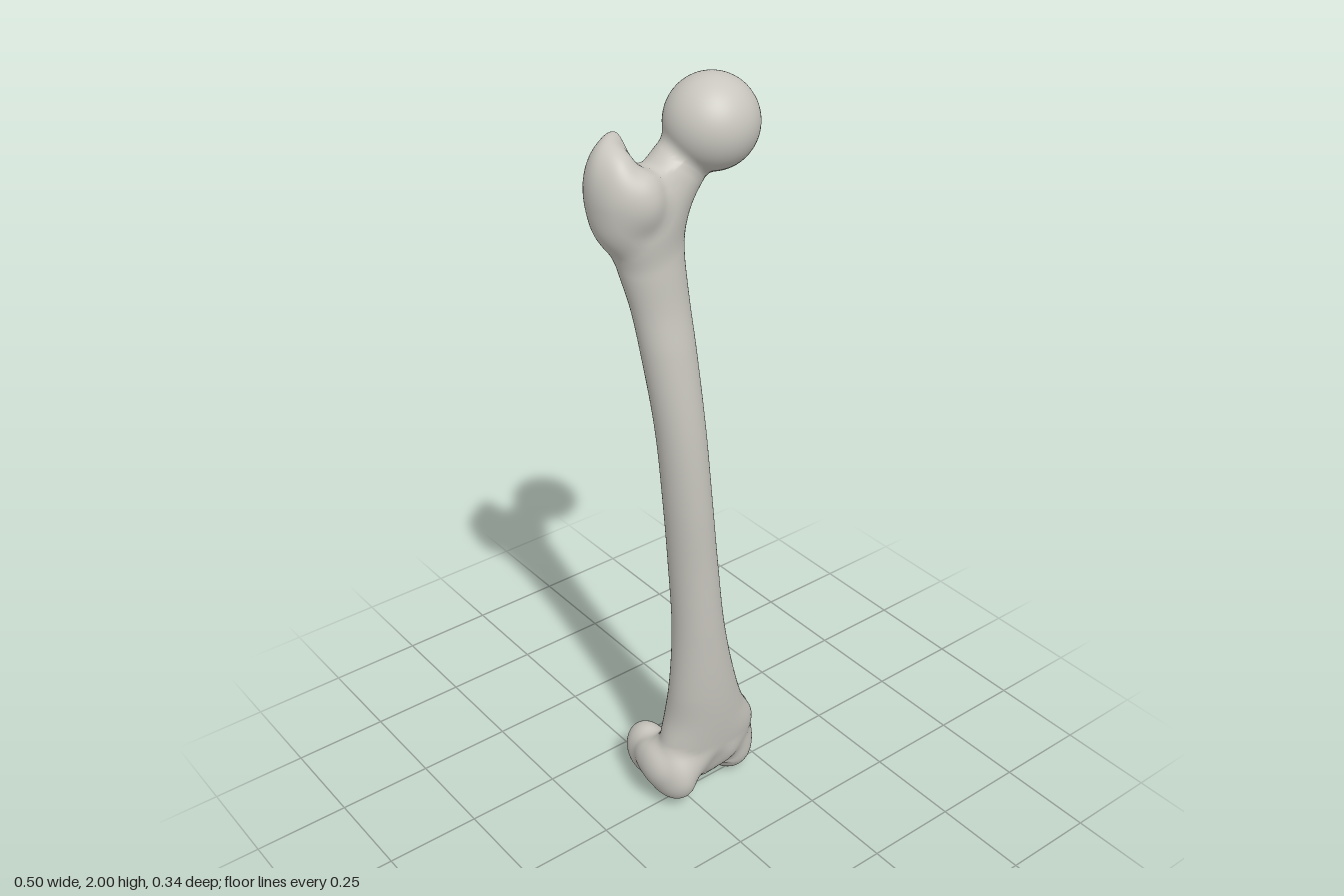
import * as THREE from 'three';

// Shaft cross-sections: height, then right, left, back and front edges
const SECTIONS = [
  [0.08, -0.04, 0.16, -0.03, 0.04],
  [0.13, -0.08, 0.19, -0.05, 0.085],
  [0.20, -0.08, 0.21, -0.055, 0.10],
  [0.30, -0.066, 0.16, -0.045, 0.115],
  [0.40, -0.066, 0.12, -0.02, 0.125],
  [0.60, -0.07, 0.065, 0.008, 0.135],
  [0.80, -0.085, 0.035, 0.016, 0.14],
  [1.00, -0.105, 0.01, 0.023, 0.145],
  [1.20, -0.125, -0.008, 0.022, 0.14],
  [1.40, -0.15, -0.02, 0.002, 0.12],
  [1.50, -0.165, -0.025, -0.01, 0.105],
  [1.60, -0.19, -0.03, -0.028, 0.098],
  [1.70, -0.215, -0.03, -0.045, 0.09],
  [1.79, -0.17, -0.08, -0.01, 0.06],
];
const BOTTOM = 0.08, TOP = 1.79;
const edges = new THREE.CubicInterpolant(
  SECTIONS.map((s) => s[0]), SECTIONS.flatMap((s) => s.slice(1)), 4, new Float32Array(4));

function section(y) {
  const [x0, x1, z0, z1] = edges.evaluate(THREE.MathUtils.clamp(y, BOTTOM + 1e-5, TOP - 1e-5));
  return { cx: (x0 + x1) / 2, cz: (z0 + z1) / 2, a: (x1 - x0) / 2, b: (z1 - z0) / 2 };
}

// Rounded masses: name, centre, radii, rotation, blend width
const mass = (name, centre, radii, rotation = [0, 0, 0], blend = 0.03) => {
  const matrix = new THREE.Matrix4().makeRotationFromEuler(new THREE.Euler(...rotation)).setPosition(...centre);
  return { name, radii, blend, matrix, inverse: matrix.clone().invert() };
};

const MASSES = [
  // upper end
  mass('neck', [-0.06, 1.785, 0.04], [0.16, 0.066, 0.06], [0, 0, 0.82], 0.06),
  mass('greaterTrochanter', [-0.192, 1.77, 0.02], [0.057, 0.105, 0.078], [0, 0, 0], 0.04),
  mass('trochanterTop', [-0.168, 1.81, -0.022], [0.075, 0.077, 0.036], [0, 0.685, 0]),
  mass('trochanterFrontTubercle', [-0.158, 1.77, 0.078], [0.036, 0.05, 0.036], [0, 0, 0], 0.04),
  mass('trochantericCrest', [-0.095, 1.72, -0.038], [0.12, 0.028, 0.026], [0, 0, -1.13], 0.04),
  mass('lesserTrochanter', [-0.02, 1.6, -0.02], [0.027, 0.044, 0.029], [0, 0, 0], 0.025),
  mass('head', [0.03, 1.895, 0.065], [0.104, 0.104, 0.104], [0, 0, 0], 0.018),
  // lower end
  mass('condyleBridge', [0.05, 0.145, 0.008], [0.1, 0.075, 0.074], [0, 0, 0], 0.04),
  mass('medialCondyle', [0.165, 0.1, -0.025], [0.068, 0.096, 0.09], [0, 0, 0], 0.03),
  mass('medialCondyleBack', [0.183, 0.102, -0.09], [0.064, 0.086, 0.079]),
  mass('medialEpicondyle', [0.218, 0.155, -0.05], [0.033, 0.048, 0.05], [0, 0, 0], 0.04),
  mass('lateralCondyle', [-0.045, 0.12, 0.015], [0.057, 0.087, 0.084]),
  mass('lateralCondyleBack', [-0.038, 0.112, -0.09], [0.053, 0.077, 0.073]),
  mass('lateralEpicondyle', [-0.082, 0.14, -0.02], [0.026, 0.045, 0.05], [0, 0, 0], 0.04),
];

// Hollows cut out of the blended form
const HOLLOWS = [
  mass('fovea', [0.142, 1.925, 0.062], [0.022, 0.02, 0.022], [0, 0, 0], 0.012),
  mass('trochantericFossa', [-0.105, 1.845, -0.035], [0.032, 0.045, 0.026], [0, 0.685, 0], 0.025),
  mass('intercondylarNotch', [0.065, 0.04, -0.11], [0.042, 0.07, 0.09], [0, 0, 0], 0.03),
  mass('patellarGroove', [0.05, 0.09, 0.125], [0.035, 0.08, 0.05], [0, 0, 0], 0.04),
];

// Signed distances, negative inside
const local = new THREE.Vector3();
function massDistance(m, p) {
  const [a, b, c] = m.radii;
  const { x, y, z } = local.copy(p).applyMatrix4(m.inverse);
  const k0 = Math.hypot(x / a, y / b, z / c);
  const k1 = Math.hypot(x / (a * a), y / (b * b), z / (c * c));
  return k1 < 1e-6 ? -Math.min(a, b, c) : (k0 * (k0 - 1)) / k1;
}

function shaftDistance(p) {
  const { cx, cz, a, b } = section(p.y);
  const u = (p.x - cx) / a, v = (p.z - cz) / b;
  // a faint ridge runs down the back of the shaft
  const span = THREE.MathUtils.smoothstep(p.y, 0.45, 0.7) * (1 - THREE.MathUtils.smoothstep(p.y, 1.3, 1.55));
  const ridge = v < 0 ? 0.1 * span * v * v * Math.exp(-((u / 0.25) ** 2)) : 0;
  const side = (Math.hypot(u, v) - 1 - ridge) * Math.min(a, b);
  return Math.max(side, p.y - TOP, BOTTOM - p.y);
}

function smoothMin(a, b, k) {
  const h = Math.max(k - Math.abs(a - b), 0) / k;
  return Math.min(a, b) - (h * h * k) / 4;
}

function boneDistance(p) {
  let d = shaftDistance(p);
  for (const m of MASSES) d = smoothMin(d, massDistance(m, p), m.blend);
  for (const m of HOLLOWS) d = -smoothMin(-d, massDistance(m, p), m.blend);
  return d;
}

const probe = new THREE.Vector3();
function gradient(p, out) {
  const e = 0.0015;
  for (const axis of ['x', 'y', 'z']) {
    probe.copy(p)[axis] += e;
    const ahead = boneDistance(probe);
    probe[axis] -= 2 * e;
    out[axis] = (ahead - boneDistance(probe)) / (2 * e);
  }
  return out;
}

// Draw each vertex onto the blended surface; deeply buried ones stay put
function blendIntoBone(geometry) {
  const position = geometry.attributes.position, normal = geometry.attributes.normal;
  const p = new THREE.Vector3(), g = new THREE.Vector3();
  for (let i = 0; i < position.count; i++) {
    p.fromBufferAttribute(position, i);
    let d = boneDistance(p);
    if (d < -0.026) continue;
    for (let step = 0; step < 7 && Math.abs(d) > 1e-4; step++) {
      gradient(p, g);
      const slope = Math.max(g.length(), 0.3);
      p.addScaledVector(g.normalize(), -THREE.MathUtils.clamp(d / slope, -0.015, 0.015));
      d = boneDistance(p);
    }
    gradient(p, g).normalize();
    position.setXYZ(i, p.x, p.y, p.z);
    normal.setXYZ(i, g.x, g.y, g.z);
  }
  return geometry;
}

function shaftGeometry() {
  const geometry = new THREE.CylinderGeometry(1, 1, 1, 56, 140);
  const position = geometry.attributes.position;
  for (let i = 0; i < position.count; i++) {
    const y = THREE.MathUtils.lerp(BOTTOM, TOP, position.getY(i) + 0.5);
    const { cx, cz, a, b } = section(y);
    position.setXYZ(i, cx + a * position.getX(i), y, cz + b * position.getZ(i));
  }
  return geometry;
}

export function createModel() {
  const bone = new THREE.MeshStandardMaterial({ color: 0xc8c6be });
  bone.name = 'bone';
  const group = new THREE.Group();
  group.name = 'thighBone';

  const add = (name, geometry) => {
    const mesh = new THREE.Mesh(blendIntoBone(geometry), bone);
    mesh.name = name;
    group.add(mesh);
  };

  add('shaft', shaftGeometry());
  for (const m of MASSES) {
    add(m.name, new THREE.SphereGeometry(1, 56, 40).scale(...m.radii).applyMatrix4(m.matrix));
  }

  // Stand the bone on the ground
  const base = new THREE.Box3().setFromObject(group, true).min.y;
  group.children.forEach((mesh) => mesh.geometry.translate(0, -base, 0));
  return group;
}
